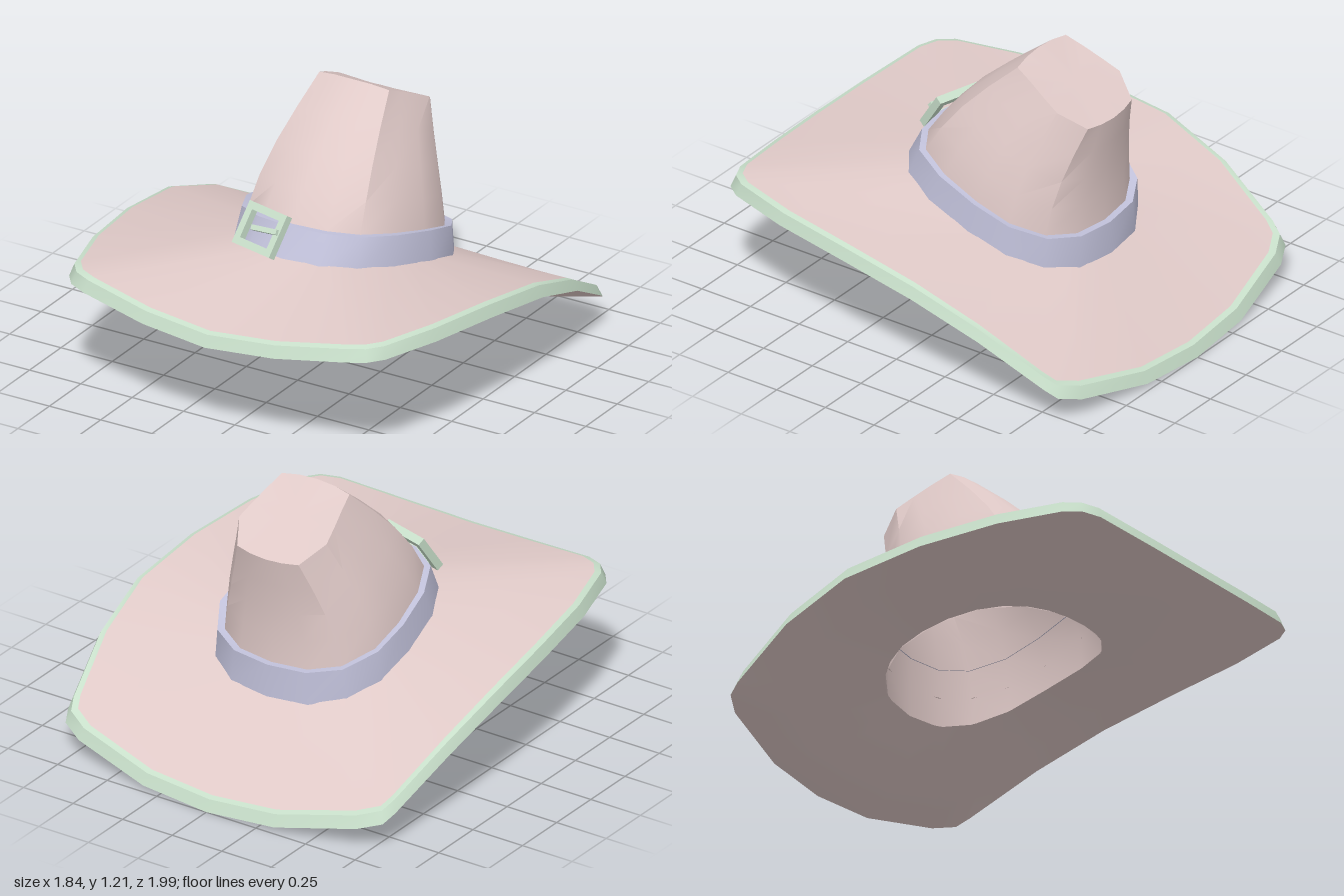
import * as THREE from 'three';
import { toCreasedNormals } from 'three/addons/utils/BufferGeometryUtils.js';

const V = (x, y, z) => new THREE.Vector3(x, y, z);

// Half outlines run from the front centre, round the left side, to the back centre.
const rimHalf = [
  [0, 0.455, 0.99], [0.32, 0.475, 0.965], [0.64, 0.515, 0.91], [0.72, 0.52, 0.875], [0.77, 0.52, 0.81],
  [0.85, 0.51, 0.53], [0.90, 0.485, 0.17], [0.92, 0.43, -0.2], [0.89, 0.32, -0.52], [0.825, 0.16, -0.815],
  [0.80, 0.125, -0.87], [0.70, 0.095, -0.92], [0.33, 0.02, -0.985], [0, 0, -1],
].map(p => V(...p));

const crownBase = [
  [0, 0.36], [0.16, 0.335], [0.28, 0.25], [0.36, 0.09], [0.395, -0.12], [0.385, -0.30],
  [0.31, -0.43], [0.18, -0.51], [0, -0.53],
].map(([x, z]) => V(x, 0.54 + 0.26 * z - 0.1 * z * z, z));

const crownTop = [
  [0, 1.21, -0.185], [0.09, 1.207, -0.19], [0.17, 1.195, -0.2], [0.187, 1.16, -0.28], [0.205, 1.12, -0.36],
  [0.22, 1.08, -0.44], [0.155, 1.01, -0.55], [0.08, 1.003, -0.565], [0, 1.0, -0.57],
].map(p => V(...p));

// Mirror a half outline into a closed ring
const mirror = half => [...half, ...half.slice(1, -1).reverse().map(p => V(-p.x, p.y, p.z))];

// Skin a stack of half outlines; surfaces face outward when stacked upward
function loft(halves, crease = 0.6) {
  const rings = halves.map(mirror), n = rings[0].length, index = [];
  for (let r = 0; r < rings.length - 1; r++) {
    for (let i = 0; i < n; i++) {
      const a = r * n + i, b = r * n + (i + 1) % n;
      index.push(a, b, b + n, a, b + n, a + n);
    }
  }
  const geo = new THREE.BufferGeometry().setFromPoints(rings.flat());
  geo.setIndex(index);
  return toCreasedNormals(geo, crease);
}

// Crown outline at height t (0 base, 1 top), bulging between, scaled about its centre
function crownRing(t, scale = 1, dy = 0) {
  const s = Math.sin(Math.PI * t);
  return crownBase.map((b, i) => {
    const p = b.clone().lerp(crownTop[i], t);
    return V(p.x * (1 + 0.1 * s) * scale, p.y + dy, (p.z + s * (0.05 + 0.05 * b.z) + 0.09) * scale - 0.09);
  });
}

// Head opening, level with the underside of the brim
const toOpening = half => half.map(p => V(p.x, 0.415 + 0.13 * p.z - 0.38 * p.z * p.z, p.z));

export function createModel() {
  const felt = new THREE.MeshStandardMaterial({ color: 0xe0cac8, side: THREE.DoubleSide });
  felt.name = 'pinkFelt';
  const trim = new THREE.MeshStandardMaterial({ color: 0xc8dfca, side: THREE.DoubleSide });
  trim.name = 'paleGreenTrim';
  const ribbon = new THREE.MeshStandardMaterial({ color: 0xc1c1da, side: THREE.DoubleSide });
  ribbon.name = 'lavenderRibbon';

  const hat = new THREE.Group();
  hat.name = 'hat';
  const add = (name, geo, mat, parent = hat) => {
    const mesh = new THREE.Mesh(geo, mat);
    mesh.name = name;
    parent.add(mesh);
    return mesh;
  };

  // Brim: underside with a slight belly, green rim, top running up to the crown
  const curve = new THREE.CatmullRomCurve3(crownBase);
  const inner = rimHalf.map((_, i) => curve.getPoint(i / (rimHalf.length - 1)));
  const opening = toOpening(inner);
  const belly = rimHalf.map((p, i) => {
    const q = p.clone().lerp(opening[i], 0.35);
    q.y -= 0.05 * Math.abs(q.z);
    return q;
  });
  const inset = (k, dy) => rimHalf.map(p => V(p.x * k, p.y + dy, p.z * k));
  const rimTop = inset(0.98, 0.052), rimInner = inset(0.955, 0.06);
  add('brimUnderside', loft([opening, belly, rimHalf], 0.8), felt);
  add('brimRim', loft([rimHalf, rimTop, rimInner]), trim);
  add('brimTop', loft([rimInner, inner], 0.8), felt);

  // Crown: open below, tapering back to a sloping flat top
  const levels = [0, 0.2, 0.4, 0.6, 0.8, 1].map(t => crownRing(t));
  add('crown', loft([toOpening(crownBase), ...levels]), felt);
  add('crownTop', loft([levels[5], crownTop.map(() => V(0, 1.105, -0.38))]), felt);

  // Hat band
  add('hatBand', loft([crownRing(0, 1.07, -0.02), crownRing(0.2, 1.07), crownRing(0.2, 0.99)]), ribbon);

  // Buckle: square frame and prong, lying on the front of the band
  const buckle = new THREE.Group();
  buckle.name = 'buckle';
  buckle.position.set(-0.11, 0.695, 0.335);
  buckle.rotation.set(-0.6, -0.27, 0.02, 'YXZ');
  const rect = (S, w, h) => new S([[-w, -h], [w, -h], [w, h], [-w, h]].map(([x, y]) => new THREE.Vector2(x, y)));
  const frame = rect(THREE.Shape, 0.112, 0.095);
  frame.holes.push(rect(THREE.Path, 0.08, 0.063));
  add('buckleFrame', new THREE.ExtrudeGeometry(frame, { depth: 0.035, bevelEnabled: false }), trim, buckle);
  const prong = add('buckleProng', new THREE.BoxGeometry(0.14, 0.022, 0.02), trim, buckle);
  prong.position.set(0.035, 0.005, 0.04);
  prong.rotation.z = 0.15;
  hat.add(buckle);

  return hat;
}
